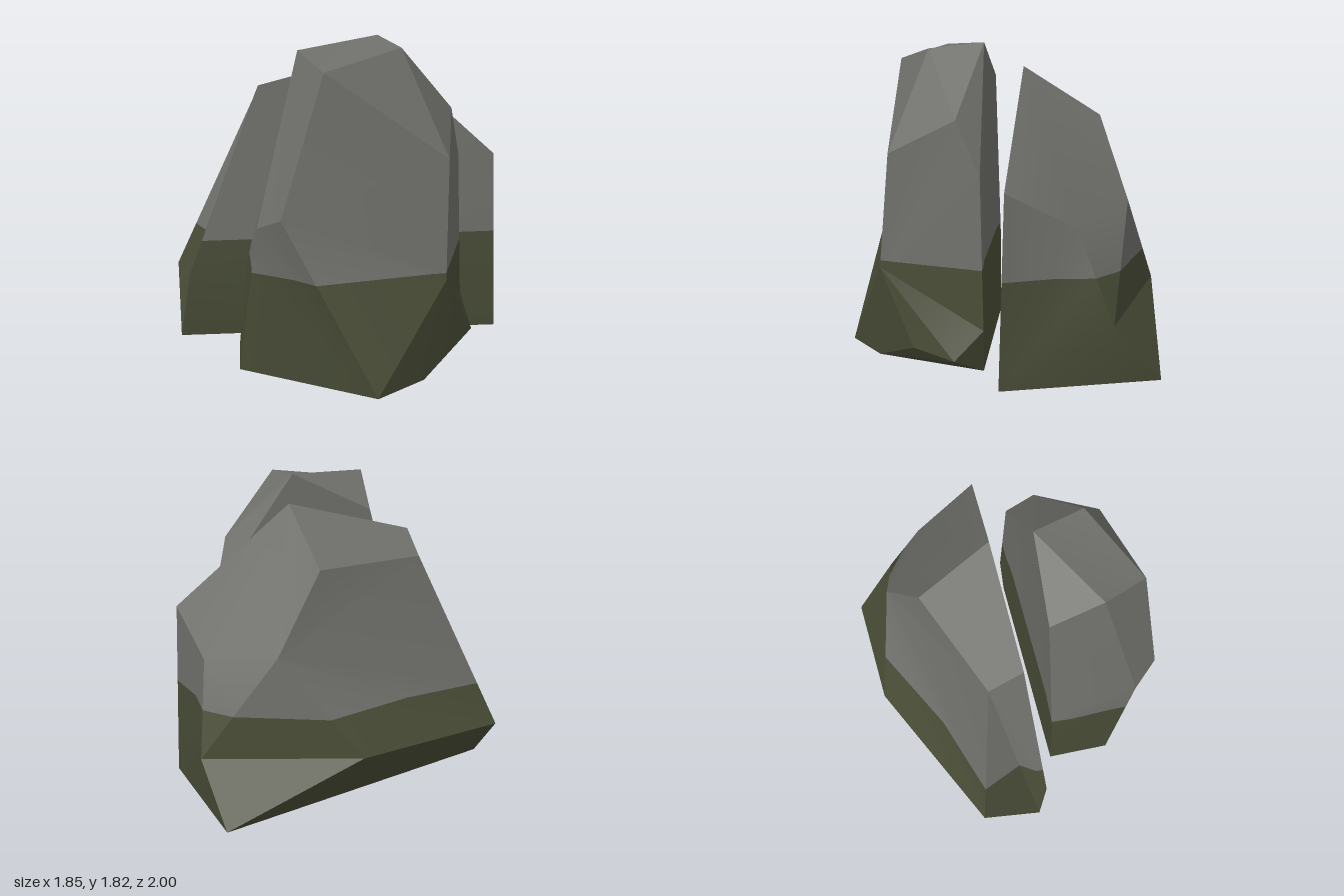
import * as THREE from 'three';
import { toCreasedNormals } from 'three/addons/utils/BufferGeometryUtils.js';

const MOSS_HEIGHT = 0.6;
const CREASE = 0.35;

// Back half: lettered corners, and facets spelled counter-clockwise from outside.
const backCorners = {
  // crown
  A: [-0.46, 1.39, 0.21], B: [-0.32, 1.51, 0.36], C: [0.25, 1.69, -0.08], D: [-0.1, 1.4, -0.365],
  // shoulders
  E: [0.83, 1.08, -0.43], F: [0.5, 0.87, -0.66], G: [0.02, 0.95, -0.655],
  // lower bulge
  H: [-0.925, 0.34, 0.38], I: [-0.62, 0.4, 0.67], J: [-0.45, 0.38, -0.51], K: [0.42, 0.34, -0.855],
  // base
  L: [-0.695, 0, 0.67], M: [0.875, 0, -0.42], N: [0.17, 0, -1],
};
const backFacets = [
  'BCDA', 'CEFGD', // top
  'GJHAD', 'FKG', 'GKJ', 'KNJ', // back
  'MNKFE', 'AHLIB', 'HJNL', // ends and undercut
  'ILMECB', 'LNM', // split face and base
];

// Front half.
const frontCorners = {
  // crown
  A: [0.34, 1.82, 0.14], B: [0.59, 1.79, 0.34], C: [0.12, 1.78, 0.64], D: [0.37, 1.7, 0.79],
  E: [-0.055, 1.59, 0.4],
  // shoulders
  F: [0.74, 1.42, 0], G: [0.72, 1.12, -0.16], H: [0.9, 1.22, 0.37],
  I: [0.05, 0.86, 0.955], J: [0.23, 0.94, 1],
  // lower bulge
  K: [0.925, 0.56, 0.43], L: [0.74, 0.26, -0.195], M: [0.915, 0.13, 0.18], N: [0.865, 0.09, -0.085],
  O: [-0.28, 0.52, 0.565],
  // base
  P: [-0.32, 0, 0.6], Q: [-0.11, 0, 0.91], R: [0.745, 0, 0.87], S: [0.85, 0, 0.53], T: [0.68, 0, -0.14],
};
const frontFacets = [
  'ACDB', 'AEC', 'ABF', 'AFG', // top
  'ICEOPQ', 'CIJD', 'IQRJ', // front
  'JRKHD', 'DHB', 'BHF', 'KRS', 'KSM', 'KMNLGFH', // right side
  'STNM', 'NTL', // undercut
  'AGLTPOE', 'PTSRQ', // split face and base
];

// Keeps the part of a polygon above (sign 1) or below (sign -1) the moss line.
function clip(polygon, sign) {
  const kept = [];
  polygon.forEach((a, i) => {
    const b = polygon[(i + 1) % polygon.length];
    const da = (a.y - MOSS_HEIGHT) * sign;
    const db = (b.y - MOSS_HEIGHT) * sign;
    if (da >= 0) kept.push(a);
    if (da * db < 0) kept.push(a.clone().lerp(b, da / (da - db)));
  });
  return kept;
}

// Splits a polygon into triangles that share its first corner.
function fan(polygon) {
  return polygon.slice(2).map((corner, i) => [polygon[0], polygon[i + 1], corner]);
}

// Faceted rock with group 0 above the moss line and group 1 below it.
function rockGeometry(corners, facets) {
  const triangles = facets.flatMap((facet) =>
    fan([...facet].map((letter) => new THREE.Vector3(...corners[letter]))));
  const [upper, lower] = [1, -1].map((sign) =>
    triangles.flatMap((triangle) => fan(clip(triangle, sign))).flat());
  const geometry = new THREE.BufferGeometry().setFromPoints([...upper, ...lower]);
  geometry.addGroup(0, upper.length, 0);
  geometry.addGroup(upper.length, lower.length, 1);
  return toCreasedNormals(geometry, CREASE);
}

export function createModel() {
  const stone = new THREE.MeshStandardMaterial({ color: 0x6e6e6a });
  stone.name = 'stone';
  const moss = new THREE.MeshStandardMaterial({ color: 0x474b35 });
  moss.name = 'moss';

  const model = new THREE.Group();
  model.name = 'splitBoulder';

  const addHalf = (name, corners, facets) => {
    const half = new THREE.Mesh(rockGeometry(corners, facets), [stone, moss]);
    half.name = name;
    model.add(half);
  };
  addHalf('backHalf', backCorners, backFacets);
  addHalf('frontHalf', frontCorners, frontFacets);
  return model;
}
